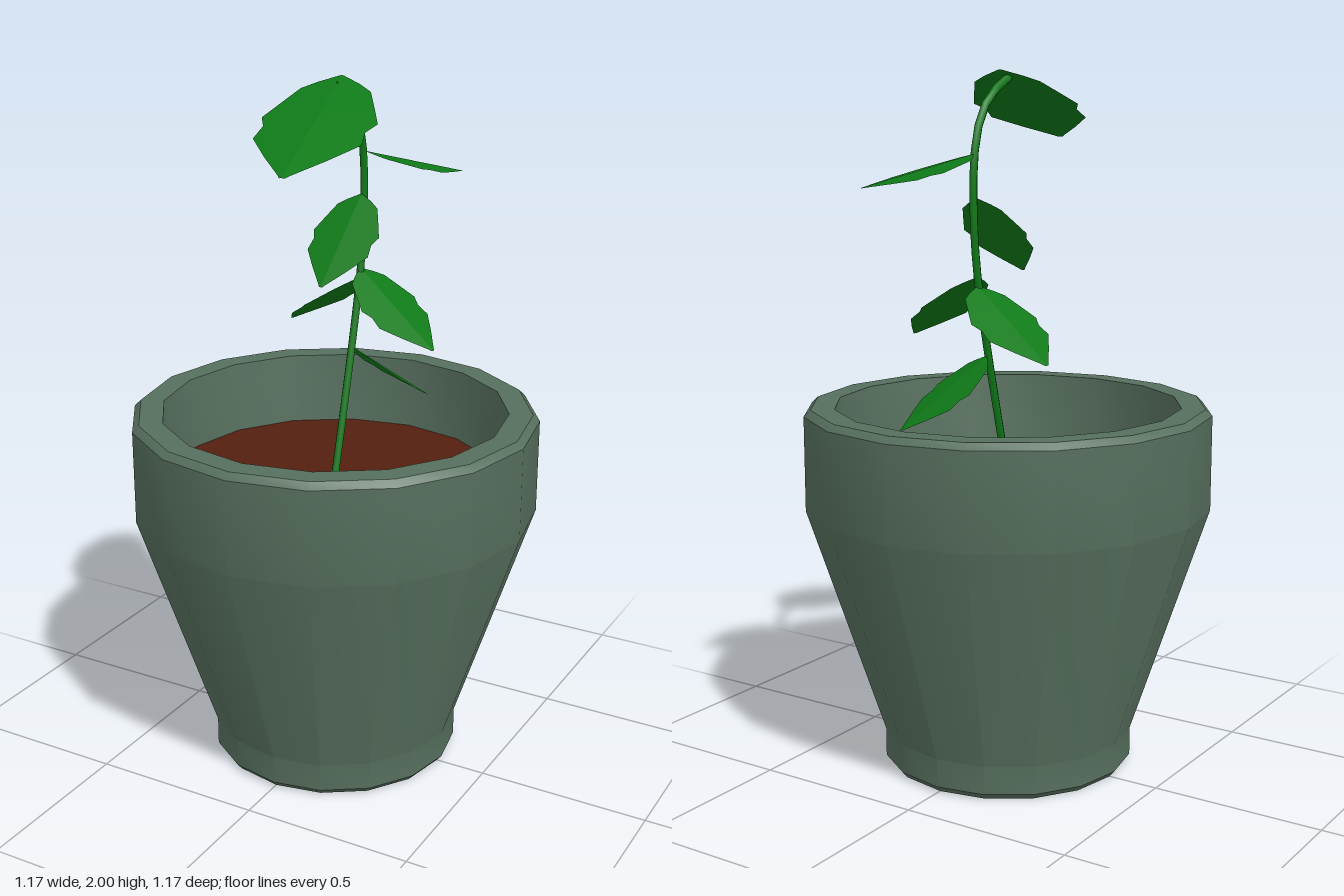
import * as THREE from 'three';
import { toCreasedNormals } from 'three/addons/utils/BufferGeometryUtils.js';

const SIDES = 16;
const v3 = (p) => new THREE.Vector3(...p);

const potMaterial = new THREE.MeshStandardMaterial({ color: 0x566f5e });
const soilMaterial = new THREE.MeshStandardMaterial({ color: 0x55200f });
const stemMaterial = new THREE.MeshStandardMaterial({ color: 0x0f7a18 });
const leafMaterial = new THREE.MeshStandardMaterial({ color: 0x0f7a18, flatShading: true, side: THREE.DoubleSide });

function addMesh(parent, name, geometry, material) {
  const mesh = new THREE.Mesh(geometry, material);
  mesh.name = name;
  parent.add(mesh);
  return mesh;
}

// Leaf cross-sections as [distance along, half width], in units of leaf length
const LEAF_ROWS = [[0, 0.01], [0.06, 0.12], [0.12, 0.2], [0.28, 0.27], [0.41, 0.325],
  [0.5, 0.285], [0.62, 0.3], [0.8, 0.17], [0.97, 0.035], [1, 0.015]];

// Serrated blade from base to tip, creased along the midrib
function leafGeometry(base, tip) {
  const along = tip.clone().sub(base);
  const length = along.length();
  const side = new THREE.Vector3(0, 1, 0).cross(along).normalize();
  const up = along.clone().cross(side).normalize();
  const positions = [];
  const index = [];
  LEAF_ROWS.forEach(([s, w], row) => {
    for (const k of [-1, 0, 1]) {
      const p = base.clone().addScaledVector(along, s)
        .addScaledVector(side, k * w * length)
        .addScaledVector(up, -Math.abs(k) * w * length * 0.1);
      positions.push(p.x, p.y, p.z);
    }
    if (row === 0) return;
    for (let k = 0; k < 2; k++) {
      const a = (row - 1) * 3 + k;
      index.push(a, a + 3, a + 1, a + 1, a + 3, a + 4);
    }
  });
  const geometry = new THREE.BufferGeometry();
  geometry.setAttribute('position', new THREE.Float32BufferAttribute(positions, 3));
  geometry.setIndex(index);
  geometry.computeVertexNormals();
  return geometry;
}

export function createModel() {
  const model = new THREE.Group();
  model.name = 'pottedPlant';

  // Pot: base, flared wall, upright collar, bevelled rim and inner wall
  const profile = [[0, 0], [0.35, 0], [0.365, 0.018], [0.365, 0.1], [0.585, 0.77],
    [0.585, 1.042], [0.566, 1.06], [0.498, 1.06], [0.48, 0.84]]
    .map(([r, y]) => new THREE.Vector2(r, y));
  addMesh(model, 'pot', toCreasedNormals(new THREE.LatheGeometry(profile, SIDES), 0.45), potMaterial);

  // Soil disc
  const soil = new THREE.CircleGeometry(0.482, SIDES).rotateX(-Math.PI / 2).translate(0, 0.85, 0);
  addMesh(model, 'soil', soil, soilMaterial);

  // Plant: one arching stem
  const plant = new THREE.Group();
  plant.name = 'plant';
  model.add(plant);
  const stemPath = new THREE.CatmullRomCurve3([
    [0, 0.84, 0], [0, 1.06, -0.06], [0, 1.25, -0.11], [0, 1.44, -0.153], [0, 1.6, -0.17],
    [0, 1.77, -0.165], [0, 1.87, -0.133], [0, 1.93, -0.08], [0, 1.975, 0.005],
  ].map(v3));
  addMesh(plant, 'stem', new THREE.TubeGeometry(stemPath, 18, 0.012, 6), stemMaterial);

  // Leaves, each given by its base on the stem and its tip
  const leaves = {
    topLeaf: [[0, 1.995, -0.04], [0.078, 1.805, 0.41]],
    upperBackLeaf: [[0, 1.77, -0.17], [0.18, 1.685, -0.435]],
    middleFrontLeaf: [[0, 1.65, -0.155], [0, 1.435, 0.08]],
    leftLeaf: [[0, 1.435, -0.155], [0.27, 1.25, -0.08]],
    rightLeaf: [[0, 1.41, -0.15], [-0.28, 1.225, -0.24]],
    lowerBackLeaf: [[0, 1.21, -0.11], [0.135, 1.02, -0.335]],
  };
  for (const [name, [base, tip]] of Object.entries(leaves)) {
    addMesh(plant, name, leafGeometry(v3(base), v3(tip)), leafMaterial);
  }
  return model;
}
